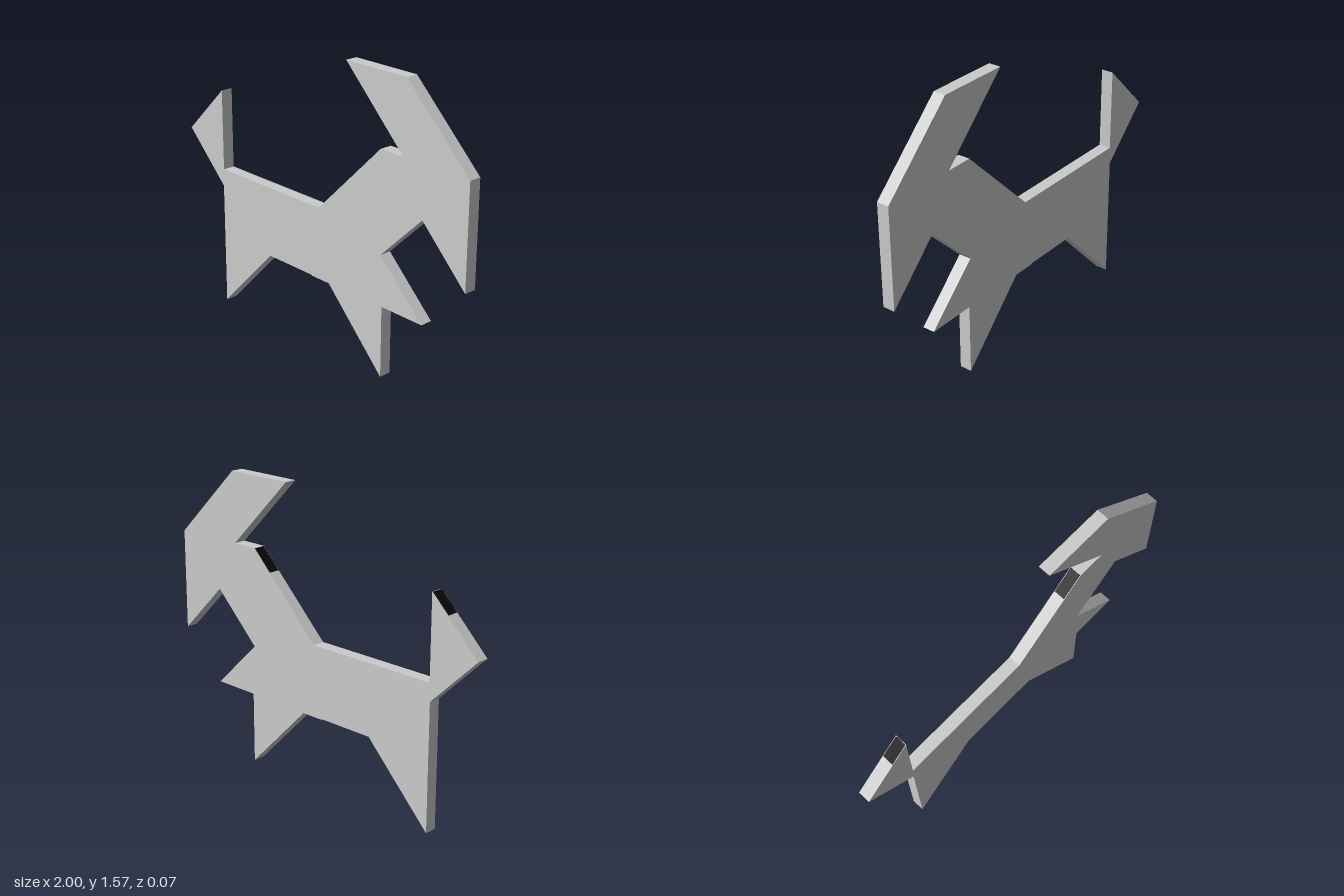
import * as THREE from 'three';

const THICKNESS = 0.066;

// Silhouette, counter-clockwise from the tip of the tail
const OUTLINE = [
  [-0.725, 1.215], [-1, 0.945], [-0.73, 0.68],                        // tail
  [-0.73, 0], [-0.35, 0.39],                                          // hind leg
  [-0.03, 0.39], [-0.03, 0.386], [0.1, 0.386],                        // belly
  [0.475, 0.005], [0.475, 0.39], [0.74, 0.39], [0.46, 0.66],          // forelegs
  [0.725, 0.92], [1, 0.645], [1, 1.19],                               // throat and muzzle
  [0.605, 1.573], [0.215, 1.573], [0.595, 1.195],                     // horn
  [0.45, 1.195], [0.025, 0.775], [-0.725, 0.775],                     // neck and back
];

// Dark strip lying on a sloping edge, from its upper to its lower end
function edgePatch(name, top, bottom) {
  const a = new THREE.Vector2(...top), b = new THREE.Vector2(...bottom);
  const mesh = new THREE.Mesh(
    new THREE.BoxGeometry(a.distanceTo(b), 0.004, THICKNESS - 0.006),
    new THREE.MeshStandardMaterial({ color: 0x080808 })
  );
  mesh.name = name;
  mesh.position.set((a.x + b.x) / 2, (a.y + b.y) / 2, 0);
  mesh.rotation.z = Math.atan2(a.y - b.y, a.x - b.x);
  return mesh;
}

export function createModel() {
  const model = new THREE.Group();
  model.name = 'goatCutout';

  // Flat animal plate
  const shape = new THREE.Shape(OUTLINE.map(([x, y]) => new THREE.Vector2(x, y)));
  const geometry = new THREE.ExtrudeGeometry(shape, { depth: THICKNESS, bevelEnabled: false });
  geometry.translate(0, 0, -THICKNESS / 2);
  const plate = new THREE.Mesh(
    geometry,
    new THREE.MeshStandardMaterial({ color: 0xcccccc, flatShading: true })
  );
  plate.name = 'animalPlate';
  model.add(plate);

  // Dark ends of the tail and neck edges
  model.add(edgePatch('tailPatch', [-0.727, 1.213], [-0.82, 1.122]));
  model.add(edgePatch('neckPatch', [0.448, 1.193], [0.34, 1.086]));

  return model;
}
